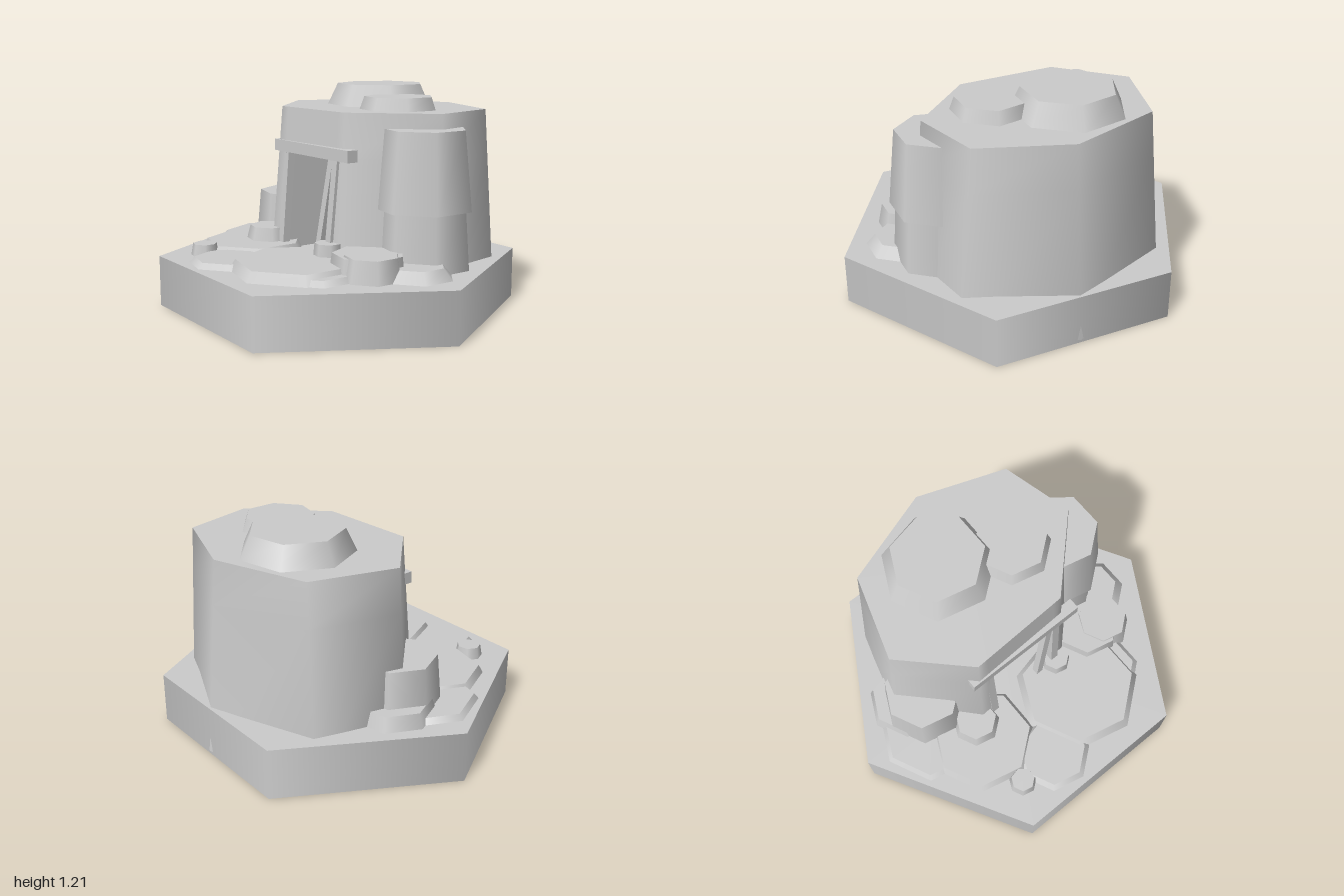
import * as THREE from 'three';
import { toCreasedNormals } from 'three/addons/utils/BufferGeometryUtils.js';

const material = new THREE.MeshStandardMaterial({ color: 0xcccccc });
const GROUND = 0.28;

function add(parent, geometry, name) {
  const mesh = new THREE.Mesh(geometry, material);
  mesh.name = name;
  parent.add(mesh);
  return mesh;
}

// Seven-sided tapered rock with a flat side towards the front
function rock(parent, name, x, z, rBottom, rTop, y0, y1) {
  const geometry = new THREE.CylinderGeometry(rTop, rBottom, y1 - y0, 7);
  geometry.rotateY(Math.PI / 7);
  add(parent, geometry, name).position.set(x, (y0 + y1) / 2, z);
}

// Square timber between two points
function beam(parent, name, from, to, width) {
  const a = new THREE.Vector3(...from), b = new THREE.Vector3(...to);
  const mesh = add(parent, new THREE.BoxGeometry(width, a.distanceTo(b), width), name);
  mesh.position.copy(a).add(b).multiplyScalar(0.5);
  mesh.quaternion.setFromUnitVectors(new THREE.Vector3(0, 1, 0), b.sub(a).normalize());
}

// Tapered mountain with a mine opening cut into its -x face
function mountainGeometry() {
  const yBottom = 0.02, yOpening = 0.85, yTop = 1.09;
  // [x, z] outlines; entries 6 to 9 are the opening, 7 and 8 its back corners
  const bottom = [[0.14, -0.71], [0.63, -0.58], [0.87, 0.03], [0.62, 0.6], [0.2, 0.68], [-0.22, 0.28],
    [-0.225, 0.22], [0.1, 0.22], [0.1, -0.26], [-0.245, -0.26], [-0.25, -0.35]];
  const top = [[0.14, -0.63], [0.6, -0.49], [0.78, 0.03], [0.61, 0.51], [0.21, 0.61], [-0.15, 0.25],
    [-0.152, 0.2], [0.1, 0.2], [0.1, -0.25], [-0.172, -0.25], [-0.175, -0.31]];
  const ring = (y) => {
    const t = (y - yBottom) / (yTop - yBottom);
    return bottom.map(([x, z], i) => new THREE.Vector3(
      x + (top[i][0] - x) * t, y, z + (top[i][1] - z) * t));
  };
  const points = [];
  const wall = (low, high) => low.forEach((a, i) => {
    const j = (i + 1) % low.length;
    points.push(a, high[i], low[j], low[j], high[i], high[j]);
  });
  const closed = (r) => r.filter((_, i) => i !== 7 && i !== 8);
  const middle = ring(yOpening), crown = closed(ring(yTop));
  wall(ring(yBottom), middle);
  wall(closed(middle), crown);
  // Ceiling of the opening
  points.push(middle[6], middle[8], middle[7], middle[6], middle[9], middle[8]);
  // Flat summit
  const centre = new THREE.Vector3(0.3, yTop, 0);
  crown.forEach((p, i) => points.push(centre, crown[(i + 1) % crown.length], p));
  const geometry = new THREE.BufferGeometry().setFromPoints(points);
  return toCreasedNormals(geometry, 1.15);
}

export function createModel() {
  const model = new THREE.Group();
  model.name = 'mountainMineTile';

  // Hexagonal ground
  add(model, new THREE.CylinderGeometry(1, 1, GROUND, 6), 'hexBase').position.set(-0.003, GROUND / 2, 0);

  add(model, mountainGeometry(), 'mountain');

  // Rocks on the summit and against the mountain: x, z, bottom radius, top radius, y0, y1
  const cliffs = [
    ['summitRockLarge', 0.385, -0.125, 0.307, 0.25, 1.09, 1.21],
    ['summitRockSmall', 0.23, 0.235, 0.215, 0.19, 1.09, 1.16],
    ['frontPillarTop', 0.18, 0.51, 0.268, 0.225, 0.59, 1.01],
    ['frontPillarBase', 0.18, 0.51, 0.26, 0.237, GROUND, 0.59],
    ['backPillar', 0.06, -0.535, 0.24, 0.215, GROUND, 0.56],
    ['backLedge', 0.14, -0.6, 0.23, 0.205, GROUND, 0.36],
  ];
  // Low slabs and loose stones around the entrance
  const stones = [
    ['entranceSlab', -0.42, 0.205, 0.36, 0.325, GROUND, 0.335],
    ['frontStep', -0.42, 0.39, 0.22, 0.19, GROUND, 0.31],
    ['sideSlab', -0.626, -0.153, 0.214, 0.185, GROUND, 0.31],
    ['backSideSlab', -0.31, -0.41, 0.3, 0.275, GROUND, 0.325],
    ['backSlab', -0.075, -0.6, 0.3, 0.275, GROUND, 0.31],
    ['backStone', -0.22, -0.385, 0.145, 0.115, GROUND, 0.4],
    ['looseStone', -0.643, -0.39, 0.078, 0.066, GROUND, 0.345],
    ['entranceStone', -0.22, 0.205, 0.088, 0.075, GROUND, 0.4],
    ['frontStone', -0.21, 0.57, 0.165, 0.14, GROUND, 0.4],
    ['frontStoneInner', -0.165, 0.485, 0.205, 0.19, GROUND, 0.39],
    ['frontSlab', -0.003, 0.67, 0.2, 0.15, GROUND, 0.34],
  ];
  for (const [name, ...args] of [...cliffs, ...stones]) rock(model, name, ...args);

  // Timber frame of the mine entrance
  const frame = new THREE.Group();
  frame.name = 'mineEntrance';
  model.add(frame);
  beam(frame, 'lintel', [-0.165, 0.87, -0.36], [-0.165, 0.87, 0.345], 0.064);
  beam(frame, 'backPost', [-0.212, GROUND, -0.25], [-0.165, 0.85, -0.25], 0.045);
  beam(frame, 'frontPost', [-0.205, GROUND, 0.19], [-0.16, 0.85, 0.21], 0.045);
  beam(frame, 'frontBrace', [-0.2, GROUND, 0.08], [-0.16, 0.85, 0.17], 0.04);
  return model;
}
